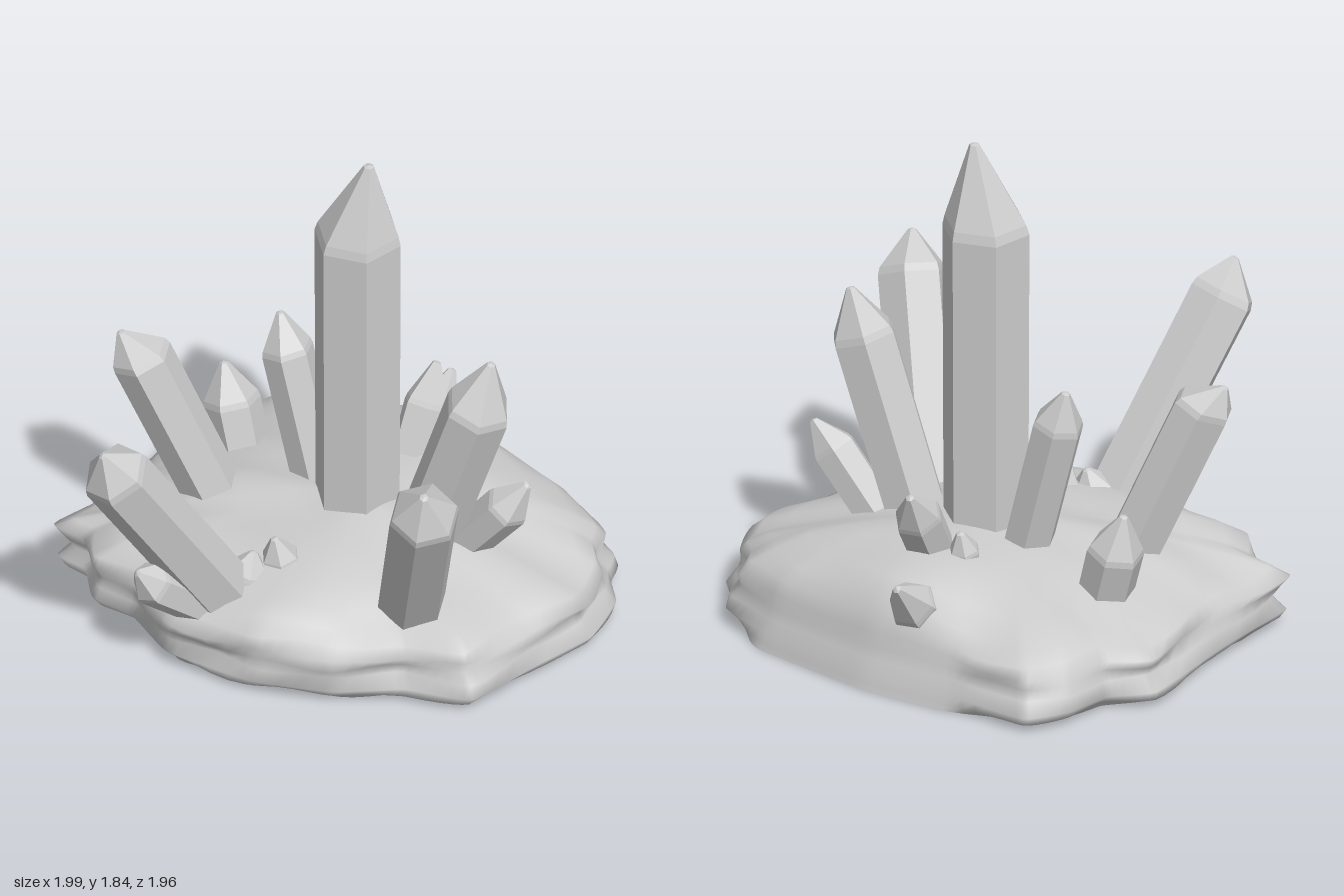
import * as THREE from 'three';

const stone = new THREE.MeshStandardMaterial({ color: 0xcccccc });
stone.name = 'pale grey stone';

// Six-sided crystal: straight shaft from a buried base to the shoulder, then a slightly skewed point
function crystal(name, base, shoulder, tip, r, twist = Math.PI / 6) {
  const origin = new THREE.Vector3(...base);
  const axis = new THREE.Vector3(...shoulder).sub(origin);
  const shaft = axis.length();
  const turn = new THREE.Quaternion().setFromUnitVectors(new THREE.Vector3(0, 1, 0), axis.normalize());
  const point = new THREE.Vector3(...tip).sub(origin).applyQuaternion(turn.clone().invert());
  const profile = [
    [r * 0.97, 0], [r, shaft - r * 0.12], [r * 0.94, shaft + r * 0.1],
    [Math.max(0.016, r * 0.12), point.y - 0.006], [0, point.y],
  ].map(([x, y]) => new THREE.Vector2(x, y));
  const lathe = new THREE.LatheGeometry(profile, 6).rotateY(twist);

  // Lean the point toward its tip
  const p = lathe.attributes.position;
  for (let i = 0; i < p.count; i++) {
    const t = Math.max(0, (p.getY(i) - shaft) / (point.y - shaft));
    p.setX(i, p.getX(i) + point.x * t);
    p.setZ(i, p.getZ(i) + point.z * t);
  }
  const geo = lathe.toNonIndexed();
  geo.computeVertexNormals(); // faceted sides
  const mesh = new THREE.Mesh(geo, stone);
  mesh.name = name;
  mesh.position.copy(origin);
  mesh.quaternion.copy(turn);
  return mesh;
}

// Rock mound: rings scaled from one rough outline, rounding off toward the top
function rockBase() {
  const outline = [
    [1.0, 0.2], [0.98, 0.45], [0.9, 0.53], [0.85, 0.64], [0.67, 0.77], [0.43, 0.81], [0.11, 0.87],
    [-0.06, 0.69], [-0.29, 0.57], [-0.5, 0.36], [-0.66, 0.05], [-0.65, -0.2], [-0.71, -0.37],
    [-0.64, -0.53], [-0.67, -0.66], [-0.32, -0.79], [0.1, -0.98], [0.27, -0.92], [0.45, -0.95],
    [0.62, -0.91], [0.73, -0.62], [0.89, -0.27],
  ].map(([x, z]) => new THREE.Vector3(x, 0, z));
  const curve = new THREE.CatmullRomCurve3(outline, true, 'catmullrom', 0.2);
  const cx = 0.13, cz = -0.05, n = 132;
  // [scale, height, scale on the flat right side, extra scale on the ledge at the right]
  const rings = [
    [0.92, 0, 1, -0.02], [0.975, 0.025, 0.99, -0.02], [1, 0.06, 0.98, -0.01], [0.965, 0.11, 0.955, 0],
    [0.95, 0.15, 0.935, 0.03], [0.965, 0.2, 0.925, 0.035], [0.92, 0.245, 0.9, 0.04],
    [0.84, 0.285, 0.85, 0.03], [0.73, 0.32, 0.75, 0.01], [0.58, 0.35, 0.6, 0], [0.4, 0.375, 0.4, 0],
    [0.2, 0.395, 0.2, 0],
  ];
  const pos = [], index = [];
  const { smoothstep: smooth, lerp } = THREE.MathUtils;
  rings.forEach(([s, y, flatS, ledge], j) => {
    const round = smooth(y, 0.26, 0.39);
    for (let i = 0; i < n; i++) {
      const p = curve.getPoint(i / n);
      const dx = p.x - cx, dz = p.z - cz, a = Math.atan2(dz, dx);
      const flat = smooth(a, -0.95, -0.7) * (1 - smooth(a, 0.3, 0.6));
      const side = smooth(Math.cos(a - 2.9), 0.3, 0.9);
      const rough = (0.014 * Math.sin(7 * a + j * 1.3) + 0.01 * Math.sin(13 * a - j * 2.1)) * (1 - round);
      const k = lerp(s + ledge * side + (j === 2 ? 0 : rough), flatS, flat)
        * lerp(1, 0.86 / Math.hypot(dx, dz), round);
      const x = cx + dx * k, z = cz + dz * k;
      const bumps = 0.014 * Math.sin(8 * x + 2 * z) * Math.cos(7 * z - 3 * x) + 0.008 * Math.sin(17 * x - 11 * z);
      // Higher toward the left, lower at the front and back
      const ridge = 0.05 * smooth(x, 0.1, 0.6) * (1 - smooth(x, 0.68, 0.94))
        * (1 - smooth(z, 0.1, 0.5)) * smooth(z, -0.7, -0.3);
      const fall = 0.03 * smooth(z, 0.3, 0.6) + 0.035 * (1 - smooth(z, -0.7, -0.3));
      pos.push(x, y + smooth(y, 0.1, 0.3) * (bumps + ridge - fall), z);
    }
  });
  const top = pos.length / 3;
  pos.push(cx, 0.405, cz);
  for (let j = 0; j < rings.length; j++) {
    for (let i = 0; i < n; i++) {
      const a = j * n + i, b = j * n + (i + 1) % n;
      if (j === rings.length - 1) index.push(a, top, b);
      else index.push(a, a + n, b, b, a + n, b + n);
    }
  }
  const geo = new THREE.BufferGeometry();
  geo.setAttribute('position', new THREE.Float32BufferAttribute(pos, 3));
  geo.setIndex(index);
  geo.computeVertexNormals();
  const rock = new THREE.Mesh(geo, stone);
  rock.name = 'rockMound';

  // Flat underside closing the lowest ring
  const rim = [];
  for (let i = 0; i < n; i++) rim.push(new THREE.Vector2(pos[i * 3], pos[i * 3 + 2]));
  const under = new THREE.ShapeGeometry(new THREE.Shape(rim));
  under.rotateX(Math.PI / 2);
  const bottom = new THREE.Mesh(under, stone);
  bottom.name = 'rockUnderside';
  return [rock, bottom];
}

export function createModel() {
  const model = new THREE.Group();
  model.name = 'crystalCluster';
  model.add(...rockBase());

  // name, base, shoulder centre, tip, radius, twist
  const crystals = [
    ['mainCrystal', [0.182, 0.2, -0.013], [0.182, 1.53, -0.013], [0.208, 1.84, 0.022], 0.161, Math.PI / 6 + 0.16],
    ['longRightCrystal', [-0.4, 0.2, 0.08], [-0.89, 0.95, 0.08], [-0.955, 1.07, 0.1], 0.127, 0.26],
    ['frontCrystal', [0.1, 0.18, 0.46], [-0.09, 0.945, 0.865], [-0.13, 1.075, 0.925], 0.128, 0.26],
    ['frontLeftCrystal', [0.272, 0.2, 0.225], [0.39, 0.98, 0.46], [0.435, 1.165, 0.475], 0.123],
    ['backRightCrystal', [-0.145, 0.2, -0.36], [-0.385, 0.885, -0.55], [-0.435, 0.97, -0.615], 0.112, 0.3],
    ['middleBackCrystal', [0.16, 0.2, -0.185], [0.095, 0.86, -0.345], [0.09, 0.995, -0.385], 0.095, 0.26],
    ['backCrystal', [0.06, 0.2, -0.56], [0.05, 0.47, -0.643], [0.04, 0.615, -0.68], 0.104, 0.1],
    ['lowRightCrystal', [-0.44, 0.175, 0.08], [-0.735, 0.415, 0.08], [-0.8, 0.485, 0.08], 0.085],
    ['rightStub', [-0.38, 0.22, 0.1], [-0.345, 0.32, 0.1], [-0.32, 0.405, 0.1], 0.088],
    ['rightBud', [-0.21, 0.25, 0.13], [-0.23, 0.365, 0.13], [-0.255, 0.455, 0.13], 0.072],
    ['backLeftBud', [0.4, 0.3, -0.23], [0.43, 0.415, -0.245], [0.45, 0.49, -0.25], 0.057],
    ['leftCrystal', [0.44, 0.3, -0.1], [0.57, 0.55, -0.16], [0.645, 0.665, -0.22], 0.09],
    ['sideCrystal', [0.62, 0.22, -0.31], [0.73, 0.325, -0.36], [0.835, 0.435, -0.42], 0.09],
    ['frontLeftBud', [0.385, 0.27, 0.31], [0.485, 0.54, 0.505], [0.54, 0.645, 0.555], 0.085],
  ];
  for (const c of crystals) model.add(crystal(...c));
  return model;
}
